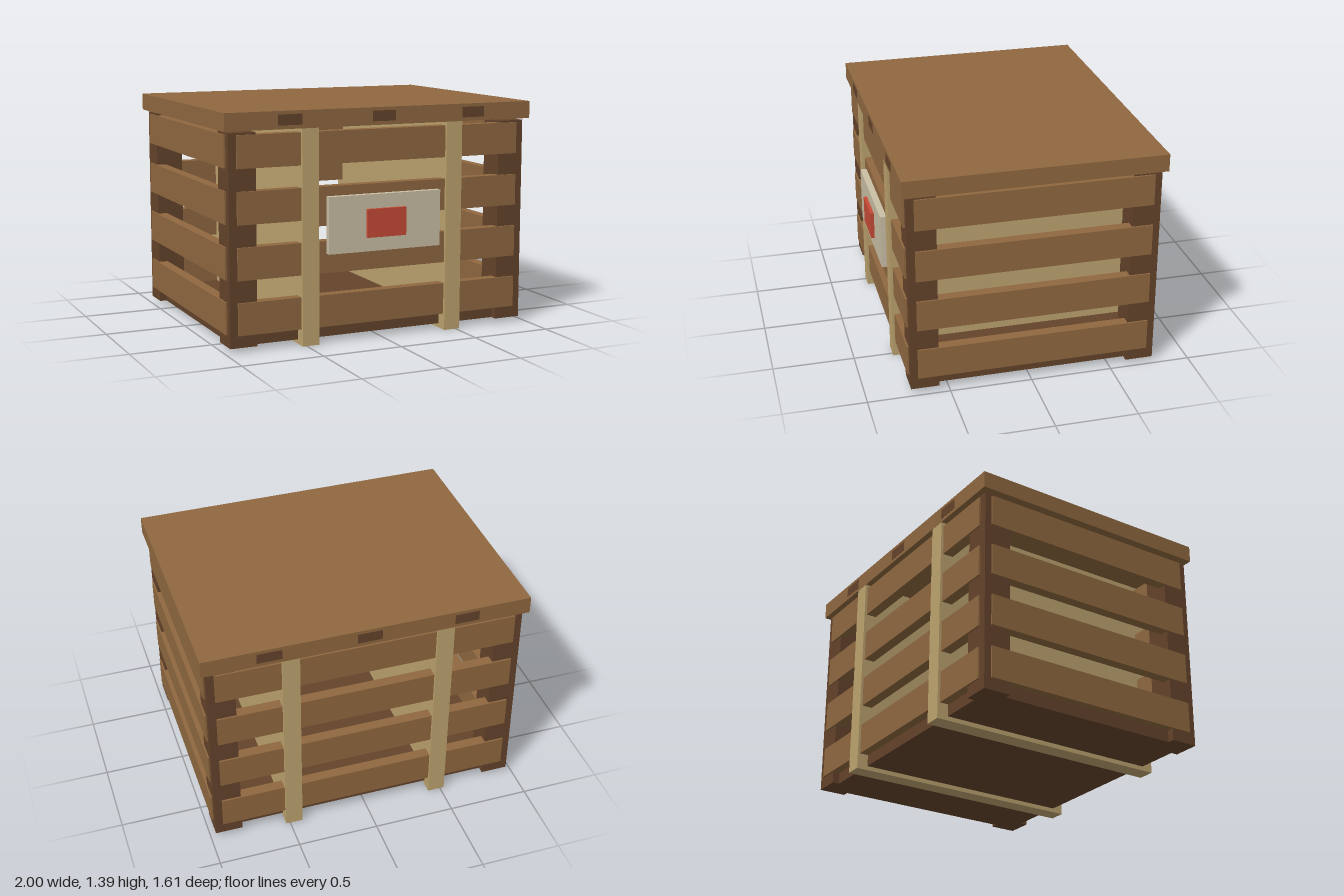
import * as THREE from 'three';

const mat = (name, color) => {
  const m = new THREE.MeshStandardMaterial({ color });
  m.name = name;
  return m;
};

export function createModel() {
  const wood = mat('plank wood', 0x8f6840);
  const dark = mat('dark wood', 0x64432b);
  const strapTan = mat('strap tan', 0xbda36f);
  const paper = mat('label cream', 0xcabfa5);
  const red = mat('label red', 0xc64a35);

  const crate = new THREE.Group();
  crate.name = 'crate';

  // Crate body is centred on its own z axis, slightly behind the origin
  // because the label sticks out at the front.
  const body = new THREE.Group();
  body.name = 'body';
  body.position.z = -0.022;
  crate.add(body);

  // Box given by its extents on each axis
  const box = (name, material, [x0, x1], [y0, y1], [z0, z1]) => {
    const mesh = new THREE.Mesh(new THREE.BoxGeometry(x1 - x0, y1 - y0, z1 - z0), material);
    mesh.position.set((x0 + x1) / 2, (y0 + y1) / 2, (z0 + z1) / 2);
    mesh.name = name;
    body.add(mesh);
    return mesh;
  };
  const span = (side, inner, outer) => (side > 0 ? [inner, outer] : [-outer, -inner]);

  // Lid and floor
  box('lid', wood, [-1, 1], [1.285, 1.39], [-0.782, 0.782]);
  box('floor', dark, [-0.925, 0.925], [0.027, 0.105], [-0.71, 0.71]);

  // Corner posts
  for (const sx of [-1, 1]) {
    for (const sz of [-1, 1]) {
      box('cornerPost', dark, span(sx, 0.8, 0.968), [0.027, 1.273], span(sz, 0.583, 0.754));
    }
  }

  // Four rows of slats on all four sides
  for (let row = 0; row < 4; row++) {
    const y0 = 0.1 + row * 0.323;
    const height = [y0, y0 + 0.192];
    for (const s of [-1, 1]) {
      box(s > 0 ? 'frontSlat' : 'backSlat', wood, [-0.92, 0.92], height, span(s, 0.698, 0.765));
      box(s > 0 ? 'leftSlat' : 'rightSlat', wood, span(s, 0.912, 0.978), height, [-0.71, 0.71]);
    }
  }

  // Two full-depth straps
  for (const s of [-1, 1]) {
    box('strap', strapTan, span(s, 0.42, 0.526), [0, 1.293], [-0.781, 0.781]);
  }

  // Dark inlays on the front and back edges of the lid
  for (const x of [-0.6, 0, 0.6]) {
    for (const s of [-1, 1]) {
      box('lidInlay', dark, [x - 0.075, x + 0.075], [1.307, 1.37], span(s, 0.778, 0.784));
    }
  }

  // Front label with its raised red patch
  box('label', paper, [-0.367, 0.367], [0.54, 0.88], [0.765, 0.805]);
  box('labelPatch', red, [-0.127, 0.127], [0.625, 0.795], [0.8, 0.827]);

  return crate;
}
